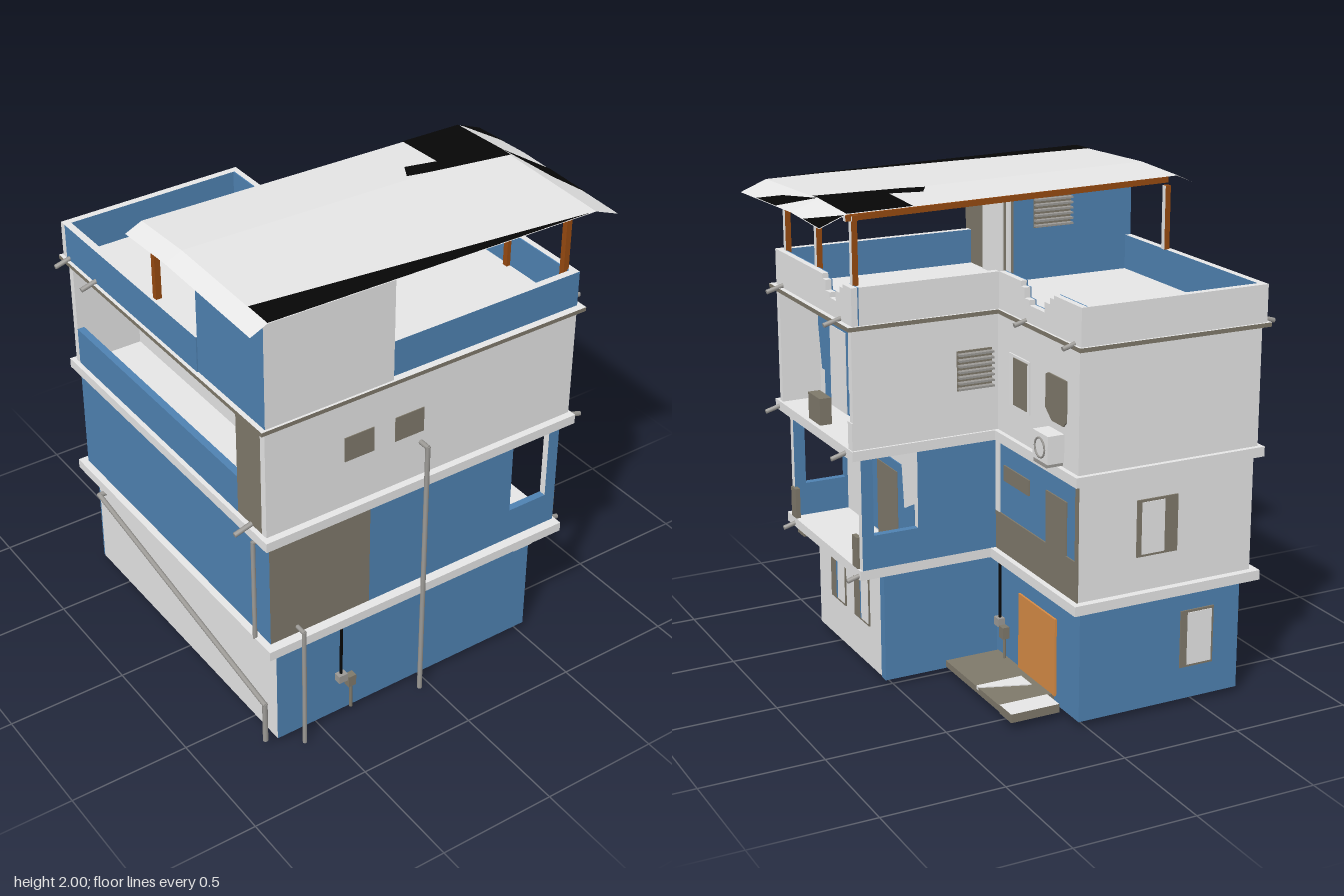
import * as THREE from 'three';

const mat = (name, color, side = THREE.FrontSide) => {
  const m = new THREE.MeshStandardMaterial({ color, side });
  m.name = name;
  return m;
};

export function createModel() {
  const root = new THREE.Group();
  root.name = 'house';
  const W = mat('plaster', 0xe6e6e6), B = mat('blue paint', 0x4f82b2), C = mat('bare cement', 0x7f796b);
  const O = mat('orange door', 0xd68b45), T = mat('timber', 0x974a10), P = mat('pipe grey', 0x9c9a96);
  const K = mat('black', 0x060606, THREE.DoubleSide), R = mat('roof sheet', 0xe6e6e6, THREE.DoubleSide);
  const G = mat('glass white', 0xececec);

  const add = (name, geo, m) => {
    const mesh = new THREE.Mesh(geo, m);
    mesh.name = name;
    root.add(mesh);
    return mesh;
  };
  // Box from its limits; a material list follows +x, -x, +y, -y, +z, -z
  const box = (name, x0, x1, y0, y1, z0, z1, m) => {
    const g = new THREE.BoxGeometry(x1 - x0, y1 - y0, z1 - z0);
    g.translate((x0 + x1) / 2, (y0 + y1) / 2, (z0 + z1) / 2);
    return add(name, g, m);
  };
  // Thin painted plates on x-facing and z-facing walls
  const plateX = (name, x, z0, z1, y0, y1, m, t = 0.006) => box(name, x, x + t, y0, y1, z0, z1, m);
  const plateZ = (name, z, x0, x1, y0, y1, m, t = 0.006) => box(name, x0, x1, y0, y1, z, z + t, m);
  // Extruded outline drawn in (z, y), spanning x to x + t
  const profileX = (name, x, t, pts, m) => {
    const s = new THREE.Shape(pts.map(([z, y]) => new THREE.Vector2(-z, y)));
    const g = new THREE.ExtrudeGeometry(s, { depth: t, bevelEnabled: false });
    g.rotateY(Math.PI / 2).translate(x, 0, 0);
    return add(name, g, m);
  };
  // Flat piece drawn in (x, z), rising from y to y + t
  const profileY = (name, y, t, pts, m) => {
    const s = new THREE.Shape(pts.map(([x, z]) => new THREE.Vector2(x, -z)));
    const g = new THREE.ExtrudeGeometry(s, { depth: t, bevelEnabled: false });
    g.rotateX(-Math.PI / 2).translate(0, y, 0);
    return add(name, g, m);
  };
  // Straight pipe runs through a list of points
  const pipe = (name, pts, r = 0.009, m = P) => {
    const v = pts.map(p => new THREE.Vector3(...p));
    for (let i = 1; i < v.length; i++) {
      const d = v[i].clone().sub(v[i - 1]);
      const mesh = add(name, new THREE.CylinderGeometry(r, r, d.length() + r, 8), m);
      mesh.position.copy(v[i]).add(v[i - 1]).multiplyScalar(0.5);
      mesh.quaternion.setFromUnitVectors(new THREE.Vector3(0, 1, 0), d.normalize());
    }
  };

  // Ground floor: open-bottomed shell of thin walls
  const y0 = 0.024;
  box('groundFrontWall', -0.69, 0.53, y0, 0.49, 0.672, 0.68, [W, W, W, W, B, W]);
  box('groundLeftSideWall', 0.522, 0.53, y0, 0.49, -0.01, 0.672, [W, W, W, W, W, B]);
  plateX('groundCornerPaint', 0.528, -0.01, 0.03, y0, 0.49, B);
  box('groundInnerCornerWall', 0.03, 0.522, y0, 0.49, -0.01, -0.002, B);
  box('groundWingWall', 0.022, 0.03, y0, 0.49, -0.7, -0.01, B);
  box('groundBackWall', -0.69, 0.022, y0, 0.49, -0.7, -0.692, B);
  box('groundRightSideWall', -0.69, -0.682, y0, 0.49, -0.692, 0.672, [B, W, W, B, W, W]);
  for (const z of [0.39, 0.145]) {
    plateX('groundWindow', 0.53, z, z + 0.15, 0.2, 0.405, C);
    plateX('groundWindowPane', 0.532, z + 0.005, z + 0.075, 0.21, 0.4, G);
  }
  plateX('groundWindowReveal', 0.532, 0.465, 0.48, 0.21, 0.4, B);
  plateX('groundWindowReveal', 0.532, 0.22, 0.23, 0.21, 0.4, B);
  plateX('orangeDoor', 0.03, -0.52, -0.215, 0.06, 0.385, O, 0.009);
  plateZ('groundBackWindow', -0.706, -0.57, -0.42, 0.16, 0.4, C);
  plateZ('groundBackPane', -0.709, -0.56, -0.45, 0.17, 0.39, G);

  // Porch slabs by the door, continuing under the house
  box('porchSlab', 0.03, 0.27, 0.035, 0.062, -0.5, -0.02, C);
  box('porchStep', 0.06, 0.27, 0.03, 0.066, -0.6, -0.5, [C, C, W, C, C, C]);
  profileY('porchEdge', 0.05, 0.016, [[0.07, -0.39], [0.07, -0.3], [0.27, -0.3], [0.27, -0.32]], W);
  box('innerPorchRim', -0.31, -0.09, 0.04, 0.06, -0.61, -0.15, W);
  box('innerPorchSlab', -0.29, -0.11, 0.03, 0.04, -0.59, -0.17, C);
  profileY('innerPorchWedge', 0.03, 0.02, [[0.02, -0.02], [-0.13, -0.09], [-0.05, 0.4]], C);

  // Floor slabs: front block and rear wing
  const slab = (name, yb, yt, xl, xr, xw, zf, zc, zb, m) => {
    box(name, xl, xr, yb, yt, zc, zf, m);
    box(name, xl, xw, yb, yt, zb, zc, m);
  };
  slab('firstSlab', 0.49, 0.53, -0.75, 0.65, 0.08, 0.73, -0.05, -0.75, W);
  slab('secondSlab', 1.0, 1.04, -0.75, 0.69, 0.08, 0.72, -0.09, -0.75, W);
  slab('thirdSlab', 1.515, 1.532, -0.76, 0.7, 0.07, 0.72, -0.1, -0.75, [C, C, W, C, C, C]);
  slab('terraceFloor', 1.532, 1.537, -0.73, 0.66, 0.03, 0.68, -0.07, -0.72, W);
  box('balconyBeam', 0.53, 0.63, 0.455, 0.49, 0.6, 0.67, C);
  box('balconyBeam', 0.44, 0.53, 0.455, 0.49, 0.68, 0.7, W);

  // Second floor
  box('secondBody', -0.72, 0.4, 0.53, 1.0, -0.05, 0.66, [W, B, W, W, B, B]);
  box('secondWing', -0.72, 0.05, 0.53, 1.0, -0.72, -0.05, [B, B, W, W, W, W]);
  box('secondFrontCement', -0.72, -0.27, 0.53, 1.0, 0.66, 0.69, [C, B, C, C, C, C]);
  box('secondFrontWall', -0.27, 0.41, 0.53, 1.0, 0.66, 0.69, B);
  for (const [z0, z1] of [[0.66, 0.69], [-0.05, -0.02]]) {
    const f = z0 > 0 ? B : W;
    box('balconyRail', 0.4, 0.59, 0.53, 0.67, z0, z1, [B, B, B, B, f, B]);
    box('balconyColumn', 0.59, 0.64, 0.53, 1.0, z0, z1, [W, W, W, W, f, B]);
  }
  profileX('balconyPaint', 0.4, 0.005,
    [[0.53, 0.54], [0.4, 0.89], [0.1, 0.89], [0.08, 0.71], [-0.02, 0.76], [-0.02, 0.54]], B);
  plateX('balconyDoor', 0.403, 0.13, 0.325, 0.53, 0.85, C);
  box('balconyStub', 0.63, 0.65, 0.53, 0.66, 0.63, 0.68, C);
  box('balconyStub', 0.63, 0.65, 0.53, 0.66, -0.02, 0.03, [C, C, C, C, K, C]);
  plateX('wingCementBand', 0.05, -0.72, -0.05, 0.53, 0.69, C);
  plateX('wingWhiteEdge', 0.05, -0.08, -0.045, 0.69, 1.0, W);
  plateX('wingCementEdge', 0.05, -0.72, -0.7, 0.69, 1.0, C);
  plateX('wingSlotWindow', 0.05, -0.33, -0.12, 0.835, 0.9, C);
  plateX('wingWindow', 0.05, -0.63, -0.47, 0.69, 0.905, C);
  plateZ('secondBackWindow', -0.726, -0.38, -0.2, 0.67, 0.9, C);
  plateZ('secondBackPane', -0.729, -0.32, -0.22, 0.68, 0.89, G);

  // Third floor: balcony on one side, open gallery on the other
  const xi = 0.51;
  box('thirdBody', -0.45, xi, 1.04, 1.515, -0.08, 0.66, W);
  box('thirdWing', -0.45, 0.06, 1.04, 1.515, -0.73, -0.08, W);
  box('thirdFrontWall', -0.73, 0.68, 1.04, 1.515, 0.66, 0.69, W);
  box('thirdBalconyRearWall', xi, 0.68, 1.04, 1.515, -0.08, -0.05, W);
  box('galleryBackWall', -0.73, -0.45, 1.04, 1.515, -0.73, -0.7, W);
  box('galleryRail', -0.73, -0.7, 1.04, 1.2, -0.7, 0.5, B);
  box('galleryEndWall', -0.73, -0.7, 1.04, 1.515, 0.5, 0.66, C);
  box('galleryPaint', -0.456, -0.45, 1.04, 1.515, 0.3, 0.66, B);
  for (const z of [-0.45, 0.0]) box('galleryWindow', -0.456, -0.45, 1.18, 1.4, z, z + 0.16, C);
  profileX('thirdBalconyPaint', xi, 0.005,
    [[0.66, 1.515], [0.66, 1.35], [0.63, 1.17], [0.6, 1.17], [0.6, 1.04], [0.3, 1.04], [0.28, 1.08],
      [0.02, 1.08], [0.01, 1.17], [-0.04, 1.18], [-0.05, 1.515]], B);
  plateX('thirdBalconyDoor', xi + 0.002, 0.37, 0.53, 1.04, 1.38, G);
  profileX('peeledPaint', xi + 0.002, 0.005, [[0.34, 1.33], [0.29, 1.15], [0.35, 1.15]], W);
  plateX('thirdBalconyWindow', xi + 0.002, 0.075, 0.21, 1.17, 1.38, C);
  for (const z of [0.085, 0.146]) plateX('thirdBalconyPane', xi + 0.005, z, z + 0.054, 1.18, 1.37, G);
  box('balconyCrate', 0.62, 0.67, 1.04, 1.15, 0.28, 0.4, C);
  box('balconyStub', 0.665, 0.685, 1.04, 1.15, -0.08, -0.04, [W, W, W, W, K, W]);
  for (const x of [-0.39, -0.165]) plateZ('frontWindow', 0.69, x, x + 0.13, 1.24, 1.345, C, 0.004);
  plateX('wingFramedWindow', 0.06, -0.35, -0.18, 1.17, 1.38, G);
  plateX('wingFramedOpening', 0.063, -0.335, -0.225, 1.18, 1.37, C);
  profileX('wingUpperWindow', 0.06, 0.006,
    [[-0.48, 1.24], [-0.48, 1.37], [-0.5, 1.38], [-0.64, 1.38], [-0.64, 1.22], [-0.62, 1.2], [-0.53, 1.2]], C);
  // Barred windows facing back
  const bars = (x0, x1, yb, yt, z) => {
    plateZ('barredWindow', z - 0.006, x0, x1, yb, yt, C);
    for (let i = 0; i < 7; i++) {
      const y = yb + (yt - yb) * (i + 0.3) / 7;
      box('windowBar', x0, x1, y, y + 0.008, z - 0.03, z - 0.006, P);
    }
  };
  bars(0.09, 0.24, 1.22, 1.38, -0.08);
  bars(-0.45, -0.28, 1.75, 1.9, 0.27);
  // Air conditioner
  box('coolerCase', 0.06, 0.13, 1.06, 1.17, -0.62, -0.5, W);
  const fan = add('coolerFan', new THREE.TorusGeometry(0.038, 0.004, 6, 20), P);
  fan.rotation.y = Math.PI / 2;
  fan.position.set(0.132, 1.113, -0.56);
  box('coolerBracket', 0.06, 0.13, 1.045, 1.06, -0.61, -0.51, P);

  // Terrace parapets, broken away in steps on the left side
  const notch = (a, b, low) => [[a, 1.68], [a, 1.66], [a - 0.03, 1.66], [a - 0.03, 1.62],
    [a - 0.07, 1.62], [a - 0.07, low], [b + 0.07, low], [b + 0.07, 1.64], [b + 0.03, 1.64], [b + 0.03, 1.665], [b, 1.665], [b, 1.68]];
  const broken = (x, z0, z1, a, b) => {
    const pts = [[z0, 1.532], [z0, 1.68], ...notch(a, b, 1.6), [z1, 1.68], [z1, 1.532]];
    profileX('brokenParapet', x - 0.025, 0.025, pts, W);
    profileX('parapetInnerPaint', x - 0.03, 0.005, pts, B);
  };
  broken(0.68, 0.66, -0.09, 0.19, -0.01);
  broken(0.06, -0.09, -0.73, -0.27, -0.53);
  box('frontParapet', -0.19, 0.68, 1.532, 1.68, 0.66, 0.69, [W, B, W, B, B, B]);
  box('cornerParapet', 0.06, 0.65, 1.532, 1.68, -0.09, -0.06, [W, W, W, W, B, W]);
  box('backParapet', -0.745, 0.06, 1.532, 1.68, -0.74, -0.71, [W, W, W, W, B, W]);
  box('rightParapet', -0.745, -0.715, 1.532, 1.68, -0.71, 0.27, [B, B, W, B, B, B]);

  // Rooftop room
  box('rooftopRoom', -0.74, -0.19, 1.532, 1.967, 0.27, 0.71, [C, B, W, W, W, B]);
  plateX('rooftopDoor', -0.19, 0.36, 0.54, 1.537, 1.865, G);
  plateX('rooftopJamb', -0.19, 0.295, 0.325, 1.537, 1.95, W);

  // Timber posts and beams
  for (const [x, z, yb] of [[0.645, -0.04, 1.53], [0.645, 0.31, 1.53], [0.645, 0.64, 1.53], [-0.72, -0.04, 1.68]]) {
    box('roofPost', x - 0.012, x + 0.012, yb, 1.94, z - 0.012, z + 0.012, [W, T, T, T, T, T]);
  }
  for (const [z, x0] of [[-0.04, -0.72], [0.64, -0.19]]) {
    const beam = box('roofBeam', 0, 0.68 - x0, -0.012, 0.012, z - 0.012, z + 0.012, [W, T, T, T, T, T]);
    beam.position.set(x0, 1.965 - (x0 + 0.72) * 0.02, 0);
    beam.rotation.z = -0.02;
  }
  box('sideBeam', 0.633, 0.657, 1.925, 1.945, -0.06, 0.66, [W, T, T, T, T, T]);

  // Roof sheet: gentle ridge with drooping ends
  const xs = [-0.81, -0.74, 0.69, 0.8], zs = [-0.09, 0.19, 0.74];
  const hx = [1.966, 1.998, 1.972, 1.928], hz = [-0.012, 0, -0.016];
  const lerpAt = (k, v, t) => {
    let i = 0;
    while (i < k.length - 2 && t > k[i + 1]) i++;
    return v[i] + (v[i + 1] - v[i]) * (t - k[i]) / (k[i + 1] - k[i]);
  };
  const roofY = (x, z) => lerpAt(xs, hx, x) + lerpAt(zs, hz, z);
  const sheet = new THREE.PlaneGeometry(1, 1, 3, 2);
  const sp = sheet.attributes.position;
  for (let i = 0; i < sp.count; i++) {
    const x = xs[i % 4], z = zs[Math.floor(i / 4)];
    sp.setXYZ(i, x, roofY(x, z), z);
  }
  const flat = sheet.toNonIndexed();
  flat.computeVertexNormals();
  add('roofSheet', flat, R);
  const patches = [
    [[0.42, -0.09], [0.69, -0.09], [0.69, 0.19], [0.34, 0.19], [0.25, 0.17], [0.29, 0.1], [0.42, 0.13]],
    [[0.34, 0.19], [0.69, 0.19], [0.69, 0.24]],
    [[0.7, -0.09], [0.8, -0.09], [0.8, 0.07]],
    [[0.692, 0.19], [0.8, 0.35], [0.8, 0.56], [0.74, 0.43]],
    [[-0.74, 0.62], [0.67, 0.74], [-0.74, 0.74]],
  ];
  for (const pts of patches) {
    const g = new THREE.ShapeGeometry(new THREE.Shape(pts.map(([x, z]) => new THREE.Vector2(x, -z))));
    const p = g.attributes.position;
    for (let i = 0; i < p.count; i++) {
      const x = p.getX(i), z = -p.getY(i);
      p.setXYZ(i, x, roofY(x, z) + 0.003, z);
    }
    g.computeVertexNormals();
    add('roofPatch', g, K);
  }

  // Water pipes
  pipe('tallPipe', [[-0.045, 0.005, 0.735], [-0.045, 1.19, 0.735], [-0.045, 1.19, 0.69]], 0.01);
  pipe('shortPipe', [[-0.6, 0.005, 0.735], [-0.6, 0.56, 0.735], [-0.6, 0.56, 0.69]]);
  pipe('cornerPipe', [[-0.72, 0.98, 0.62], [-0.745, 0.98, 0.62], [-0.745, 0.53, 0.62]]);
  pipe('slopingPipe', [[-0.69, 0.43, -0.6], [-0.74, 0.43, -0.6], [-0.74, 0.22, 0.67], [-0.74, 0.04, 0.67]], 0.011);
  // Meter boxes with conduit and tap, on the front and by the door
  const meter = (x, z, ry) => {
    const start = root.children.length;
    pipe('conduit', [[0, 0.49, 0.012], [0, 0.21, 0.012]], 0.006, K);
    box('meterBox', -0.02, 0.02, 0.19, 0.225, 0, 0.03, P);
    box('tapBox', 0.025, 0.06, 0.15, 0.2, 0, 0.03, C);
    pipe('tapPipe', [[0.045, 0.15, 0.015], [0.045, 0.035, 0.015]], 0.007, C);
    const g = new THREE.Group();
    g.name = 'meter';
    g.add(...root.children.slice(start));
    g.position.set(x, 0, z);
    g.rotation.y = ry;
    root.add(g);
  };
  meter(-0.4, 0.68, 0);
  meter(0.03, -0.06, Math.PI / 2);
  // Drain spouts along the slab edges: x, y, z, direction
  for (const [x, y, z, d] of [[0.68, 1.54, 0.62, 1], [0.68, 1.54, 0.02, 1], [0.04, 1.54, -0.31, 1], [0.04, 1.54, -0.69, 1],
    [0.68, 1.02, 0.68, 1], [0.68, 1.02, -0.02, 1], [0.63, 0.51, 0.65, 1], [0.63, 0.51, -0.03, 1],
    [-0.74, 1.54, -0.69, -1], [-0.74, 1.54, -0.48, -1], [-0.74, 1.05, 0.6, -1]]) {
    pipe('drainSpout', [[x, y, z], [x + d * 0.065, y - 0.018, z]], 0.01);
  }
  return root;
}
